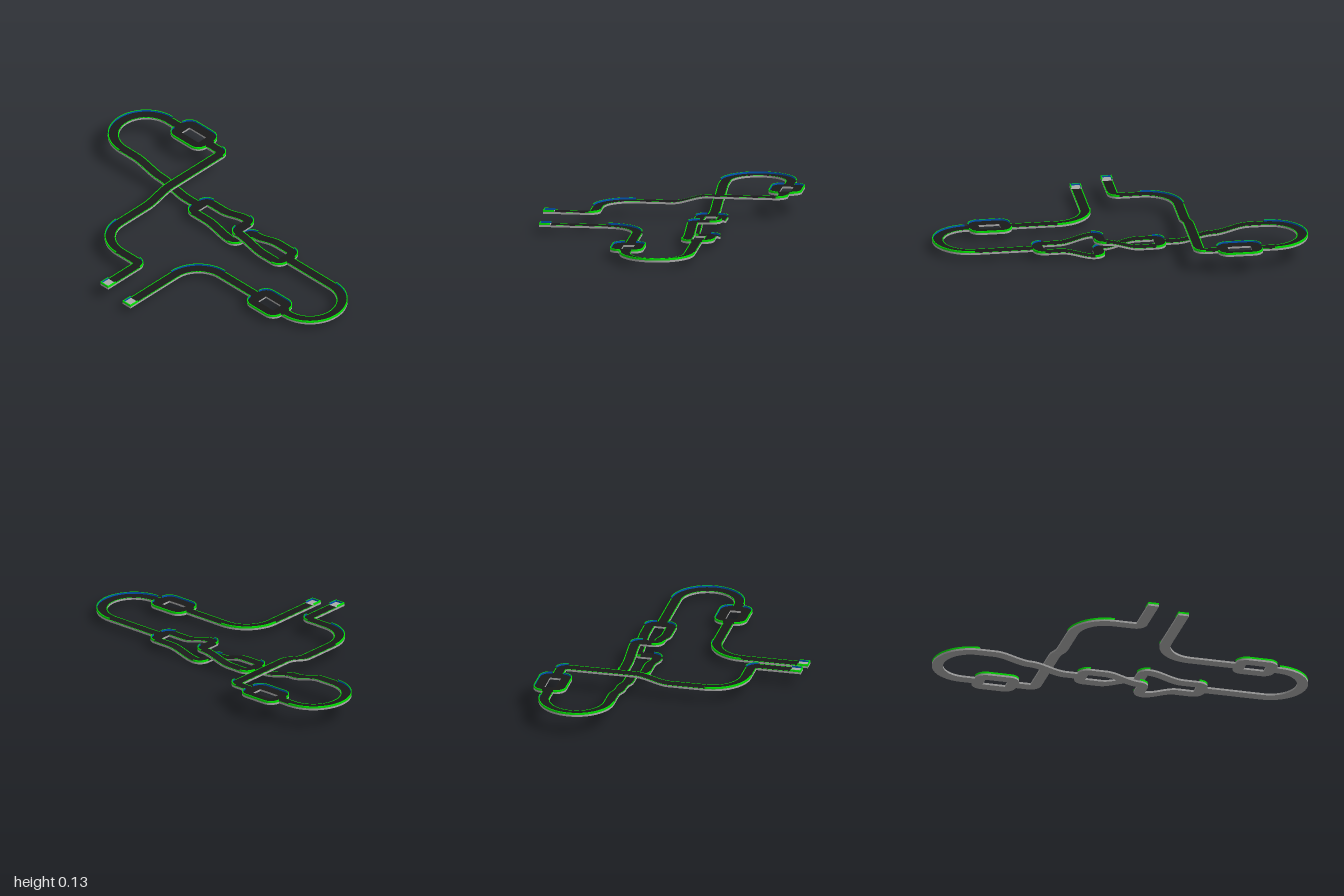
import * as THREE from 'three';

const HALF = 0.03;      // half the track width
const SLAB = 0.011;     // slab thickness
const WALL = 0.0215;    // top of the side walls above the slab bottom
const THIN = 0.005;     // wall and stripe thickness
const STEP = 0.0375;    // height between two levels
const EAST = 0, SOUTH = Math.PI / 2, WEST = Math.PI, NORTH = -Math.PI / 2;

export function createModel() {
  const model = new THREE.Group();
  model.name = 'raceTrack';

  const mat = (name, color) => {
    const m = new THREE.MeshStandardMaterial({ color });
    m.name = name;
    return m;
  };
  const asphalt = mat('asphalt', 0x1a1a1a);
  const concrete = mat('concrete', 0xaaaaaa);
  const green = mat('wallGreen', 0x00ff00);
  const blue = mat('wallBlue', 0x0055b4);
  const palette = [asphalt, concrete, green, blue];

  // Sweeps cross-section edges [material, offsetA, heightA, offsetB, heightB] along stations
  function sweep(name, stations, edges, parent) {
    const pos = [], index = [];
    const geo = new THREE.BufferGeometry();
    for (const [material, oa, ha, ob, hb] of edges) {
      const base = pos.length / 3, start = index.length;
      for (const s of stations) {
        const rx = -Math.sin(s.h), rz = Math.cos(s.h);
        pos.push(s.x + rx * oa, s.y + ha, s.z + rz * oa, s.x + rx * ob, s.y + hb, s.z + rz * ob);
      }
      for (let i = 0; i < stations.length - 1; i++) {
        const a = base + i * 2;
        index.push(a, a + 1, a + 3, a, a + 3, a + 2);
      }
      geo.addGroup(start, index.length - start, material);
    }
    geo.setAttribute('position', new THREE.Float32BufferAttribute(pos, 3));
    geo.setIndex(index);
    geo.computeVertexNormals();
    const mesh = new THREE.Mesh(geo, palette);
    mesh.name = name;
    parent.add(mesh);
  }

  // Slab faces, with walls or painted stripes on the chosen edges
  function section(left, right, top = 0) {
    const W = HALF, S = SLAB, I = HALF - THIN, P = SLAB + 0.0008;
    const edges = [[top, -W, S, W, S], [1, W, S, W, 0], [1, W, 0, -W, 0], [1, -W, 0, -W, S]];
    if (left === 'wall') edges.push([2, -W, S, -W, WALL], [2, -W, WALL, -I, WALL], [3, -I, WALL, -I, S]);
    if (right === 'wall') edges.push([3, I, S, I, WALL], [2, I, WALL, W, WALL], [2, W, WALL, W, S]);
    if (left === 'stripe') edges.push([2, -W, P, -I, P]);
    if (right === 'stripe') edges.push([2, I, P, W, P]);
    return edges;
  }

  // Lays straights, ramps and bends one after another
  function route(name, x, z, level, h, steps) {
    const group = new THREE.Group();
    group.name = name;
    let y = level * STEP;
    for (const step of steps) {
      const stations = [];
      if (step.turn) {
        const side = Math.sign(step.turn), r = step.radius * side;
        const cx = x - Math.sin(h) * r, cz = z + Math.cos(h) * r;
        const n = Math.max(6, Math.round(Math.abs(step.turn) / 7.5));
        for (let i = 0; i <= n; i++) {
          const a = h + THREE.MathUtils.degToRad(step.turn) * i / n;
          stations.push({ x: cx + Math.sin(a) * r, y, z: cz - Math.cos(a) * r, h: a });
        }
        // Wide bends also carry the painted stripe on their inner edge
        const inner = step.radius > HALF && 'stripe';
        sweep('bend', stations, side > 0 ? section('wall', inner) : section(inner, 'wall'), group);
      } else {
        const rise = (step.rise || 0) * STEP, n = rise ? 12 : 1;
        for (let i = 0; i <= n; i++) {
          const t = i / n, d = step.len * t;
          stations.push({
            x: x + Math.cos(h) * d, y: y + rise * t * t * (3 - 2 * t), z: z + Math.sin(h) * d, h,
          });
        }
        const { left = 'stripe', right = 'stripe', top = 0 } = step;
        sweep(rise ? 'ramp' : 'straight', stations, section(left, right, top), group);
      }
      ({ x, y, z, h } = stations[stations.length - 1]);
    }
    model.add(group);
  }

  const run = (len, rise = 0) => ({ len, rise });
  const turn = (degrees, radius = HALF) => ({ turn: degrees, radius });
  const plain = (len, left = false) => ({ len, left, right: false });
  const MID = 0.061;   // length of a junction tile

  // Small rectangular split lane, open where the main track joins
  function splitLoop(name, cx, cz, level, halfX) {
    const long = plain(2 * (halfX - 2 * HALF), 'wall');
    const half = [plain(MID), turn(90), long, turn(90)];
    route(name, cx - halfX + HALF, cz + MID / 2, level, NORTH, [...half, ...half]);
  }

  // Walled grey tile closing the track
  function endTile(name, x, level) {
    route(name, x, 0.61, level, SOUTH, [{ len: 0.06, left: 'wall', right: 'wall', top: 1 }]);
    const y = level * STEP;
    const wall = new THREE.Mesh(
      new THREE.BoxGeometry(2 * HALF, WALL - SLAB, THIN),
      [green, green, green, green, green, blue]);
    wall.name = name + 'Wall';
    wall.position.set(x, y + (WALL + SLAB) / 2, 0.67 - THIN / 2);
    const cap = new THREE.Mesh(new THREE.BoxGeometry(2 * HALF, SLAB, THIN), concrete);
    cap.name = name + 'Cap';
    cap.position.set(x, y + SLAB / 2, 0.67 - THIN / 2);
    model.add(wall, cap);
  }

  // Lower end to the right-hand split
  endTile('lowerEnd', 0.116, 1);
  route('lowerTrack', 0.116, 0.61, 1, NORTH, [run(0.312), turn(90, 0.18), run(0.25)]);
  splitLoop('eastLoop', 0.662, 0.12, 1, 0.117);
  route('eastBend', 0.779, 0.118, 1, EAST, [run(0.017), turn(-180, 0.174), run(0.316)]);

  // Two lanes that swap sides, one over and one under
  const cz = -0.23;
  for (const [name, s] of [['overLane', 1], ['underLane', -1]]) {
    route(name, 0.45, cz + s * MID / 2, 1, s * SOUTH, [
      turn(90 * s), run(0.09), run(0.184, s), turn(90 * s), plain(MID),
      turn(-90 * s), run(0.184, -s), run(0.09), turn(-90 * s),
    ]);
  }
  for (const x of [0.45, -0.218]) route('laneJunction', x, cz + MID / 2, 1, NORTH, [plain(MID)]);

  // Climb to the top level and the left-hand split
  route('westClimb', -0.248, cz, 1, WEST, [
    run(0.062), run(0.195, 1), run(0.195, 1), run(0.093), turn(180, 0.178), run(0.065),
  ]);
  splitLoop('westLoop', -0.605, -0.586, 3, 0.123);

  // Bridge over the climb, then down to the upper end
  route('bridgeTrack', -0.482, -0.586, 3, EAST, [
    run(0.067), turn(90), run(0.376), run(0.19, -1), run(0.203),
    turn(-90, 0.18), run(0.122), turn(90), run(0.187),
  ]);
  endTile('upperEnd', -0.053, 2);

  return model;
}
